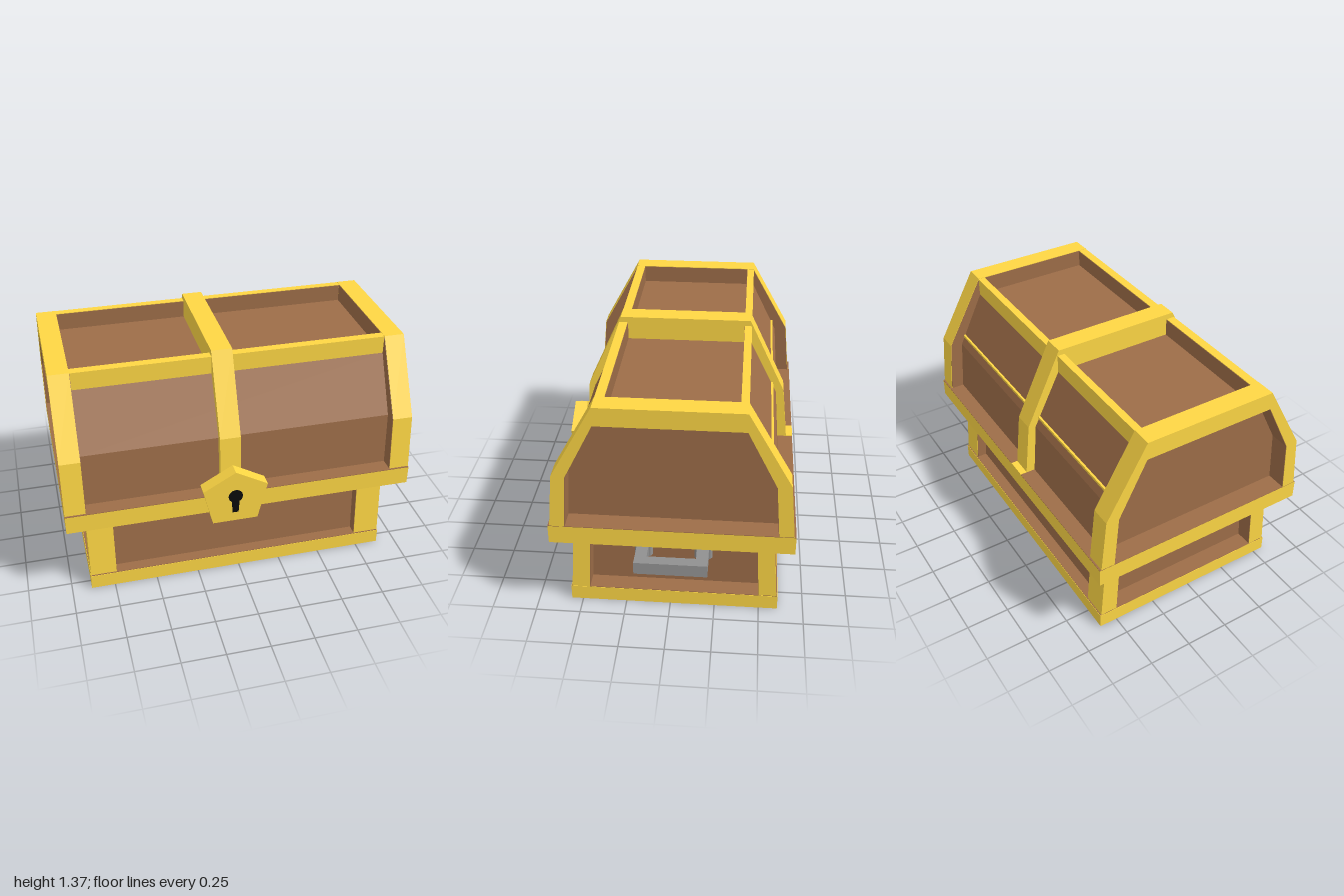
import * as THREE from 'three';

const mat = (color) => new THREE.MeshStandardMaterial({ color, flatShading: true });

export function createModel() {
  const root = new THREE.Group();
  const gold = mat(0xfdd644), wood = mat(0x9d6d48), steel = mat(0x919191), black = mat(0x0a0a0a);

  const add = (name, geo, material, parent = root) => {
    const mesh = new THREE.Mesh(geo, material);
    mesh.name = name;
    parent.add(mesh);
    return mesh;
  };
  // box given by its limits on each axis
  const box = (name, material, [x0, x1], [y0, y1], [z0, z1], parent) =>
    add(name, new THREE.BoxGeometry(x1 - x0, y1 - y0, z1 - z0)
      .translate((x0 + x1) / 2, (y0 + y1) / 2, (z0 + z1) / 2), material, parent);
  // side profile of [z, y] points, extruded from x0 to x1
  const prism = (name, material, points, x0, x1) => {
    const shape = new THREE.Shape(points.map(([z, y]) => new THREE.Vector2(-z, y)));
    const geo = new THREE.ExtrudeGeometry(shape, { depth: x1 - x0, bevelEnabled: false });
    return add(name, geo.rotateY(Math.PI / 2).translate(x0, 0, 0), material);
  };
  const shiftZ = (points, d) => points.map(([z, y]) => [z + d, y]);

  // base: tapered body, sloped corner posts with wooden inner faces
  prism('baseBody', wood, [[0.5, 0.05], [0.47, 0.52], [-0.505, 0.52], [-0.54, 0.05]], -0.785, 0.785);
  const frontPost = [[0.56, 0.06], [0.53, 0.5], [0.435, 0.5], [0.46, 0.06]];
  const backPost = [[-0.6, 0.06], [-0.568, 0.5], [-0.475, 0.5], [-0.5, 0.06]];
  for (const side of [-1, 1]) {
    const x0 = side * 0.81 - 0.075, inset = -side * 0.002;
    prism('frontPost', gold, frontPost, x0, x0 + 0.15);
    prism('backPost', gold, backPost, x0, x0 + 0.15);
    prism('frontPostLining', wood, shiftZ(frontPost, -0.002), x0 + inset, x0 + 0.15 + inset);
    prism('backPostLining', wood, shiftZ(backPost, 0.002), x0 + inset, x0 + 0.15 + inset);
  }

  // bottom band, open underneath, lined with wood and with a wooden ledge on top
  for (const [z0, z1] of [[0.465, 0.565], [-0.605, -0.505]])
    box('bottomBand', gold, [-0.887, 0.887], [0, 0.088], [z0, z1]);
  for (const [x0, x1] of [[-0.887, -0.79], [0.79, 0.887]])
    box('bottomBandEnd', gold, [x0, x1], [0, 0.088], [-0.505, 0.465]);
  for (const z of [0.463, -0.503])
    box('bottomLining', wood, [-0.79, 0.79], [0.003, 0.06], [z - 0.003, z + 0.003]);
  for (const x of [-0.788, 0.788])
    box('bottomLining', wood, [x - 0.003, x + 0.003], [0.003, 0.06], [-0.503, 0.463]);
  box('bottomLedge', wood, [-0.885, 0.885], [0.05, 0.091], [-0.603, 0.563]);

  // rim between base and lid
  box('rim', gold, [-1, 1], [0.49, 0.598], [-0.675, 0.64]);
  box('rimLedge', wood, [-1, 1], [0.598, 0.601], [-0.675, 0.64]);

  // lid: wooden core and arched end frames around it
  const inner = [[0.55, 0.6], [0.53, 0.91], [0.37, 1.23], [-0.4, 1.23], [-0.56, 0.91], [-0.585, 0.6]];
  const outer = [[0.63, 0.6], [0.6, 0.92], [0.37, 1.335], [-0.4, 1.335], [-0.635, 0.92], [-0.665, 0.6]];
  const strap = [[0.59, 0.6], [0.565, 0.92], [0.36, 1.365], [-0.393, 1.365], [-0.605, 0.92], [-0.638, 0.6]];
  const arch = (outline, hole) => [...outline, ...[...hole].reverse()];
  const shrink = (points) => points.map(([z, y]) => [-0.0175 + (z + 0.0175) * 0.996, 0.6 + (y - 0.6) * 0.996]);
  const frame = arch(outer, inner);
  const lining = arch(shrink(outer), shrink(inner));
  prism('lidBody', wood, inner, -0.885, 0.885);
  for (const side of [-1, 1]) {
    const x0 = side * 0.9425 - 0.0575;
    prism('lidEndFrame', gold, frame, x0, x0 + 0.115);
    prism('lidEndLining', wood, lining, x0 - side * 0.002, x0 + 0.115 - side * 0.002);
  }

  // centre strap with its foot on the back of the rim
  prism('centreStrap', gold, arch(strap, inner), -0.118, 0);
  box('strapFoot', gold, [-0.118, 0], [0.59, 0.604], [-0.676, -0.6]);

  // long bars along the top edges, wooden on the inside, and a thin one across the back
  box('topFrontBar', gold, [-0.885, 0.885], [1.225, 1.333], [0.32, 0.37]);
  box('topBackBar', gold, [-0.885, 0.885], [1.225, 1.333], [-0.402, -0.36]);
  box('topFrontLining', wood, [-0.882, 0.882], [1.225, 1.33], [0.318, 0.321]);
  box('topBackLining', wood, [-0.882, 0.882], [1.225, 1.33], [-0.361, -0.358]);
  box('backTrim', gold, [-0.885, 0.885], [0.957, 0.973], [-0.541, -0.525]);

  // five-sided lock plate with keyhole
  const lock = new THREE.Group();
  lock.name = 'lock';
  lock.position.set(-0.053, 0, 0);
  root.add(lock);
  const slab = (name, material, points, z0, z1) => {
    const shape = new THREE.Shape(points.map(([x, y]) => new THREE.Vector2(x, y)));
    add(name, new THREE.ExtrudeGeometry(shape, { depth: z1 - z0, bevelEnabled: false })
      .translate(0, 0, z0), material, lock);
  };
  slab('lockPlate', gold, [[0, 0.76], [-0.185, 0.655], [-0.13, 0.43], [0.13, 0.43], [0.185, 0.655]], 0.595, 0.67);
  slab('keyholeSlot', black, [[-0.017, 0.49], [0.017, 0.49], [0.024, 0.59], [-0.024, 0.59]], 0.654, 0.673);
  add('keyholeTop', new THREE.CylinderGeometry(0.042, 0.042, 0.02, 12)
    .rotateX(Math.PI / 2).translate(0, 0.6, 0.663), black, lock);

  // carrying handle on the left end, tilted slightly upward
  const handle = new THREE.Group();
  handle.name = 'handle';
  handle.position.set(0.785, 0.325, 0);
  handle.rotation.z = 0.05;
  root.add(handle);
  box('handleBar', steel, [0.145, 0.21], [-0.038, 0.034], [-0.213, 0.19], handle);
  for (const z of [0.157, -0.18]) {
    box('handleArm', steel, [0, 0.15], [-0.036, 0.032], [z - 0.033, z + 0.033], handle);
    // flared foot: square frustum lying against the panel
    const foot = new THREE.CylinderGeometry(0.55, Math.SQRT1_2, 1, 4).rotateY(Math.PI / 4);
    add('handleFoot', foot.rotateZ(-Math.PI / 2).scale(0.035, 0.105, 0.105)
      .translate(0.012, -0.008, z), steel, handle);
  }
  return root;
}
